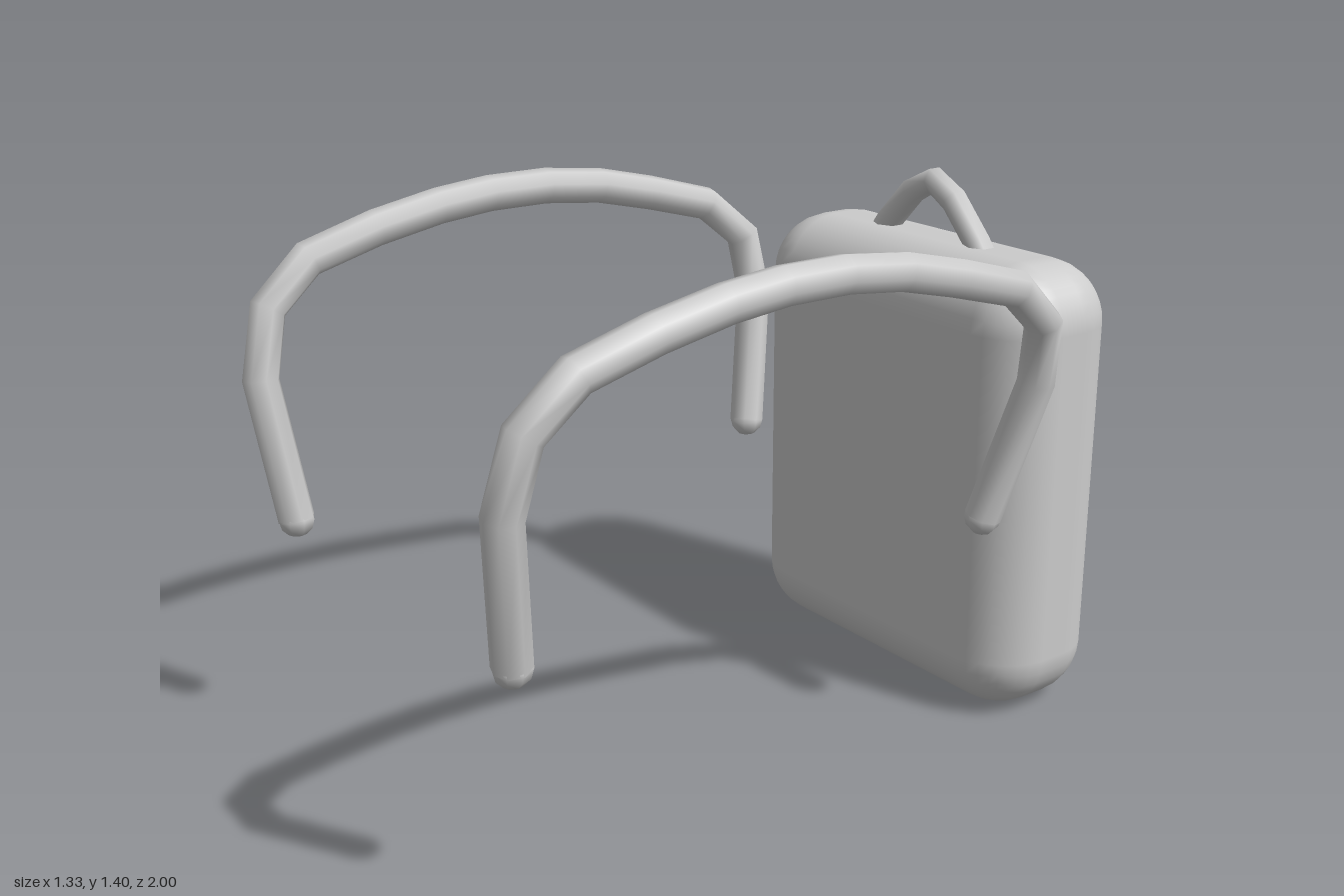
import * as THREE from 'three';
import { RoundedBoxGeometry } from 'three/addons/geometries/RoundedBoxGeometry.js';

const grey = new THREE.MeshStandardMaterial({ color: 0xcccccc });
const orange = new THREE.MeshStandardMaterial({ color: 0xe0985c });

function addMesh(parent, name, geometry, material = grey) {
  const mesh = new THREE.Mesh(geometry, material);
  mesh.name = name;
  parent.add(mesh);
  return mesh;
}

// Tube with exactly one ring per given point and round caps at both ends
function addTube(parent, name, points, radius, sides) {
  const path = points.map((p) => new THREE.Vector3(...p));
  const curve = new THREE.CatmullRomCurve3(path);
  curve.getUtoTmapping = (u) => u;
  const group = new THREE.Group();
  group.name = name;
  addMesh(group, name + 'Tube', new THREE.TubeGeometry(curve, path.length - 1, radius, sides));
  for (const end of [path[0], path[path.length - 1]]) {
    addMesh(group, name + 'End', new THREE.SphereGeometry(radius, sides, 6)).position.copy(end);
  }
  parent.add(group);
}

export function createModel() {
  const model = new THREE.Group();
  model.name = 'backpack';

  // Main bag
  addMesh(model, 'body', new RoundedBoxGeometry(1.06, 1.22, 0.405, 4, 0.165))
    .position.set(0, 0.61, -0.737);

  // Front pocket and square patch on the back face
  addMesh(model, 'pocket', new RoundedBoxGeometry(0.73, 0.41, 0.12, 3, 0.059), orange)
    .position.set(0, 0.307, -0.94);
  addMesh(model, 'patch', new RoundedBoxGeometry(0.26, 0.26, 0.06, 3, 0.029))
    .position.set(0, 0.8, -0.938);

  // Carry handle
  addTube(model, 'handle', [
    [-0.23, 1.15, -0.735], [-0.175, 1.225, -0.735], [-0.08, 1.325, -0.735], [0, 1.367, -0.735],
    [0.08, 1.325, -0.735], [0.175, 1.225, -0.735], [0.23, 1.15, -0.735],
  ], 0.036, 6);

  // Shoulder straps, arching forward from the bag
  const strap = [
    [0.49, 0.615, -0.487], [0.567, 0.973, -0.568], [0.597, 1.135, -0.55], [0.615, 1.24, -0.43],
    [0.617, 1.293, -0.24], [0.616, 1.333, -0.07], [0.615, 1.352, 0.1], [0.615, 1.352, 0.27],
    [0.616, 1.337, 0.42], [0.617, 1.303, 0.6], [0.615, 1.25, 0.79], [0.605, 1.144, 0.91],
    [0.585, 0.973, 0.952], [0.53, 0.615, 0.912],
  ];
  for (const [name, side] of [['leftStrap', 1], ['rightStrap', -1]]) {
    addTube(model, name, strap.map(([x, y, z]) => [side * x, y, z]), 0.047, 8);
  }

  return model;
}
